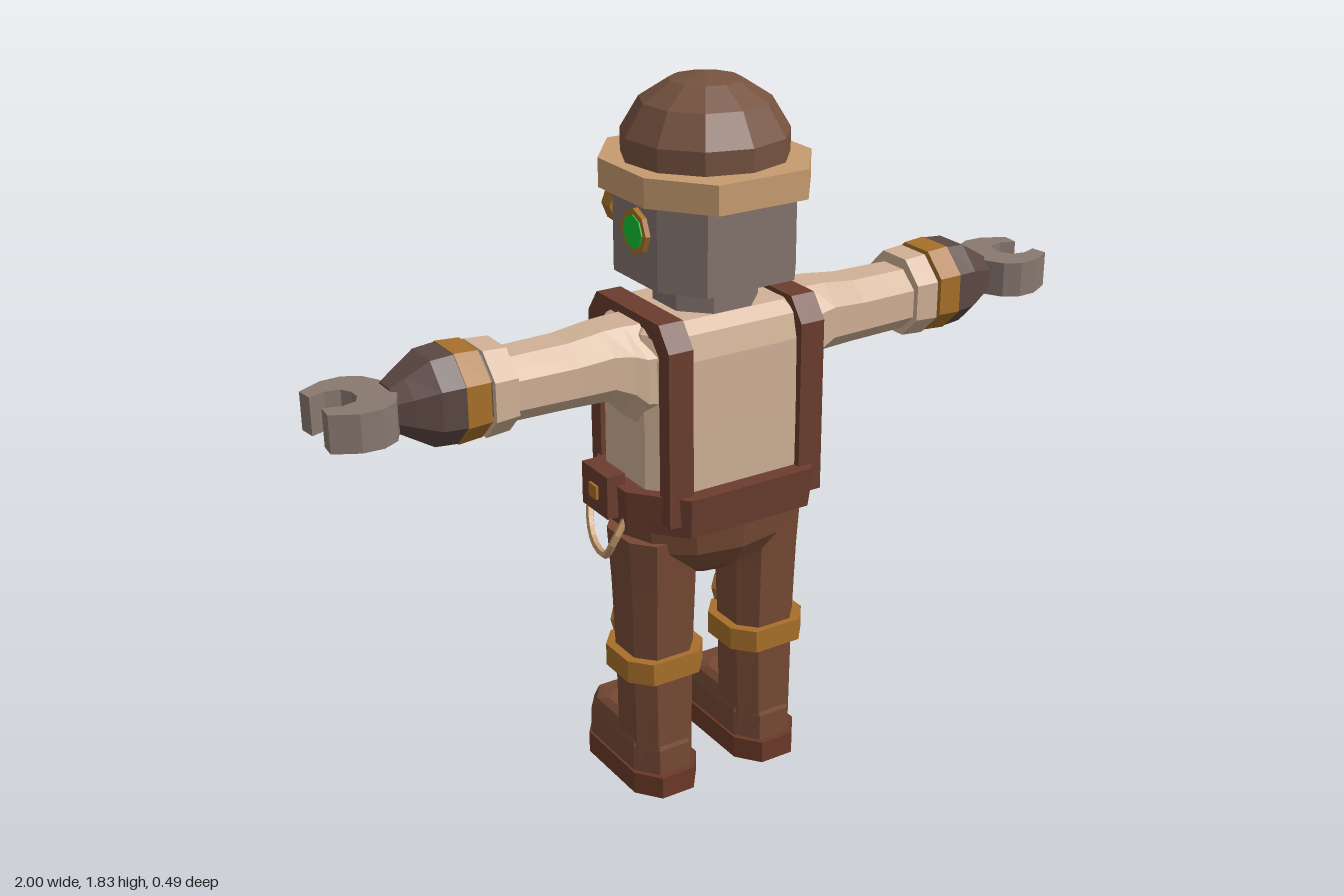
import * as THREE from 'three';

const mat = (color) => new THREE.MeshStandardMaterial({ color, flatShading: true, side: THREE.DoubleSide });
const M = {
  cap: mat(0x75523f), tan: mat(0xc79c70), steel: mat(0x84746e), shirt: mat(0xd0b196),
  leather: mat(0x6b3d2e), trousers: mat(0x774a35), gold: mat(0xa8702a),
  green: mat(0x10c535), glove: mat(0x5c4843), sole: mat(0x6b3927), claw: mat(0x887870),
};

function add(parent, name, geometry, material, x = 0, y = 0, z = 0) {
  const mesh = new THREE.Mesh(geometry, material);
  mesh.name = name;
  mesh.position.set(x, y, z);
  parent.add(mesh);
  return mesh;
}

// Stack of eight-sided rings; row = [y, halfX, halfZ, centreX, centreZ], kx/kz set the chamfer
function stack(rows, kx = 0.45, kz = 0.45) {
  const corners = [[1, -kz], [1, kz], [kx, 1], [-kx, 1], [-1, kz], [-1, -kz], [-kx, -1], [kx, -1]];
  const rings = rows.map(([y, hx, hz, cx = 0, cz = 0]) => corners.map(([a, b]) => [cx + a * hx, y, cz + b * hz]));
  const pos = [];
  const tri = (...pts) => pts.forEach((p) => pos.push(...p));
  const last = rings.length - 1;
  const mid = (i) => [rows[i][3] || 0, rows[i][0], rows[i][4] || 0];
  for (let i = 0; i < 8; i++) {
    const j = (i + 1) % 8;
    for (let r = 0; r < last; r++) {
      tri(rings[r][i], rings[r + 1][i], rings[r][j]);
      tri(rings[r][j], rings[r + 1][i], rings[r + 1][j]);
    }
    tri(mid(0), rings[0][i], rings[0][j]);
    tri(mid(last), rings[last][j], rings[last][i]);
  }
  const g = new THREE.BufferGeometry();
  g.setAttribute('position', new THREE.Float32BufferAttribute(pos, 3));
  g.computeVertexNormals();
  return g;
}

// Flat outline extruded to a centred thickness
function plate(points, depth, holes = []) {
  const shape = new THREE.Shape(points.map(([x, y]) => new THREE.Vector2(x, y)));
  holes.forEach((h) => shape.holes.push(new THREE.Path(h.map(([x, y]) => new THREE.Vector2(x, y)))));
  return new THREE.ExtrudeGeometry(shape, { depth, bevelEnabled: false }).translate(0, 0, -depth / 2);
}

const rect = (w, h) => [[-w, -h], [w, -h], [w, h], [-w, h]];

// Round lamp facing local +y
function lamp(name) {
  const g = new THREE.Group();
  g.name = name;
  add(g, 'lampRim', new THREE.CylinderGeometry(0.055, 0.058, 0.045, 8), M.gold);
  add(g, 'lampGlass', new THREE.CylinderGeometry(0.041, 0.041, 0.01, 8), M.green, 0, 0.0205, 0);
  return g;
}

function buildHead() {
  const head = new THREE.Group();
  head.name = 'head';
  add(head, 'neck', stack([[1.25, 0.115, 0.118], [1.38, 0.115, 0.118]]), M.steel);
  add(head, 'skull', stack([[1.36, 0.193, 0.195], [1.58, 0.193, 0.195]], 0.62, 0.5), M.steel);
  add(head, 'capBrim', stack([[1.565, 0.228, 0.242], [1.635, 0.228, 0.242]], 0.53, 0.42), M.tan);
  const dome = [[0.2, 1.62], [0.2, 1.69], [0.155, 1.765], [0.085, 1.81], [0, 1.828]];
  add(head, 'capDome', new THREE.LatheGeometry(dome.map(([x, y]) => new THREE.Vector2(x, y)), 11), M.cap);
  for (const s of [-1, 1]) {
    const side = lamp('sideLamp');
    side.position.set(s * 0.183, 1.485, 0.015);
    side.rotation.z = -s * Math.PI / 2;
    head.add(side);
  }
  const eye = lamp('faceLamp');
  eye.position.set(-0.095, 1.485, -0.203);
  eye.rotation.x = -Math.PI / 2;
  head.add(eye);
  return head;
}

function buildTorso() {
  const torso = new THREE.Group();
  torso.name = 'torso';
  add(torso, 'shirt', stack([[0.8, 0.23, 0.165], [1.02, 0.228, 0.167], [1.2, 0.235, 0.165],
    [1.26, 0.23, 0.15], [1.287, 0.2, 0.12]], 0.7, 0.55), M.shirt);
  add(torso, 'belt', stack([[0.77, 0.272, 0.2], [0.872, 0.276, 0.208]], 0.62, 0.38), M.leather);
  const seat = [[0, 0.587], [0.1, 0.59], [0.18, 0.63], [0.235, 0.69], [0.252, 0.78]];
  const seatGeo = new THREE.LatheGeometry(seat.map(([x, y]) => new THREE.Vector2(x, y)), 12);
  add(torso, 'trouserSeat', seatGeo.scale(1, 1, 0.72), M.trousers);
  add(torso, 'beltBuckle', plate(rect(0.066, 0.048), 0.03, [rect(0.045, 0.028)]), M.gold, 0, 0.82, -0.21);

  // Shoulder straps running over from belt to belt
  const arch = [[-0.178, 0.8], [-0.182, 1.24], [-0.14, 1.298], [0.14, 1.298], [0.184, 1.24], [0.184, 0.8],
    [0.14, 0.8], [0.14, 1.22], [0.11, 1.255], [-0.11, 1.255], [-0.135, 1.22], [-0.135, 0.8]];
  for (const s of [-1, 1]) {
    add(torso, 'strap', plate(arch, 0.066).rotateY(-Math.PI / 2), M.leather, s * 0.184, 0, 0);
    add(torso, 'strapBuckle', new THREE.BoxGeometry(0.084, 0.072, 0.06), M.gold, s * 0.184, 1.055, -0.156);
  }

  // Hip pouch and hanging cord
  add(torso, 'pouch', new THREE.BoxGeometry(0.05, 0.11, 0.12), M.leather, -0.278, 0.845, -0.02);
  add(torso, 'pouchStud', new THREE.BoxGeometry(0.01, 0.035, 0.035), M.gold, -0.305, 0.845, -0.02);
  const cord = [[-0.26, 0.8, 0.06], [-0.295, 0.73, 0.05], [-0.285, 0.67, -0.01], [-0.275, 0.68, -0.08],
    [-0.25, 0.74, -0.14], [-0.225, 0.79, -0.15]].map((p) => new THREE.Vector3(...p));
  add(torso, 'cord', new THREE.TubeGeometry(new THREE.CatmullRomCurve3(cord), 14, 0.01, 5), M.tan);
  return torso;
}

// Arm along +x, measured from the body's centre line at shoulder height
function buildArm() {
  const arm = new THREE.Group();
  arm.name = 'arm';
  const along = (name, rows, m) => add(arm, name, stack(rows).rotateZ(-Math.PI / 2), m);
  along('sleeve', [[0.18, 0.13, 0.11, 0.045], [0.23, 0.122, 0.107, 0.04], [0.26, 0.104, 0.1, 0.021],
    [0.31, 0.087, 0.095, 0.006], [0.4, 0.08, 0.09, 0.01], [0.57, 0.078, 0.085, 0.01]], M.shirt);
  along('cuff', [[0.56, 0.1, 0.1, 0.005], [0.62, 0.104, 0.105, 0.005]], M.shirt);
  along('wrist', [[0.6, 0.09, 0.09], [0.64, 0.09, 0.09]], M.glove);
  along('gloveBand', [[0.63, 0.104, 0.105], [0.69, 0.108, 0.108]], M.gold);
  along('glove', [[0.69, 0.106, 0.106], [0.745, 0.102, 0.1], [0.8, 0.07, 0.075], [0.835, 0.05, 0.055]], M.glove);
  const half = [[0.825, 0.045], [0.85, 0.09], [0.89, 0.112], [0.94, 0.11], [1, 0.078], [0.995, 0.034],
    [0.955, 0.048], [0.92, 0.04], [0.905, 0.015]];
  const outline = [...half, ...half.map(([x, y]) => [x, -y]).reverse()];
  add(arm, 'claw', plate(outline, 0.09).rotateX(Math.PI / 2), M.claw);
  return arm;
}

function buildLeg() {
  const leg = new THREE.Group();
  leg.name = 'leg';
  add(leg, 'trouserLeg', stack([[0.05, 0.08, 0.09], [0.36, 0.086, 0.088], [0.58, 0.092, 0.1],
    [0.72, 0.1, 0.108]], 0.55, 0.5), M.trousers);
  add(leg, 'kneeBand', stack([[0.335, 0.11, 0.106], [0.395, 0.11, 0.106]], 0.6, 0.5), M.gold);
  add(leg, 'kneeRing', new THREE.TorusGeometry(0.055, 0.014, 5, 12), M.gold, 0, 0.43, -0.1);
  add(leg, 'kneeDisc', new THREE.CylinderGeometry(0.052, 0.052, 0.024, 12).rotateX(Math.PI / 2), M.steel, 0, 0.43, -0.096);
  add(leg, 'kneeStud', new THREE.CylinderGeometry(0.016, 0.016, 0.012, 8).rotateX(Math.PI / 2), M.gold, 0, 0.43, -0.108);
  add(leg, 'bootSole', stack([[0, 0.093, 0.178, 0, -0.068], [0.06, 0.093, 0.178, 0, -0.068]], 0.5, 0.65), M.sole);
  add(leg, 'bootUpper', stack([[0.06, 0.087, 0.167, 0, -0.073], [0.13, 0.087, 0.166, 0, -0.073],
    [0.165, 0.075, 0.152, 0, -0.07], [0.18, 0.06, 0.1, 0, -0.06]], 0.5, 0.65), M.trousers);
  return leg;
}

export function createModel() {
  const model = new THREE.Group();
  model.name = 'mechanicRobot';
  model.add(buildHead(), buildTorso());
  for (const s of [-1, 1]) {
    const arm = buildArm();
    arm.position.set(0, 1.195, 0.01);
    arm.rotation.y = s < 0 ? Math.PI : 0;
    const leg = buildLeg();
    leg.position.x = s * 0.153;
    model.add(arm, leg);
  }
  return model;
}
